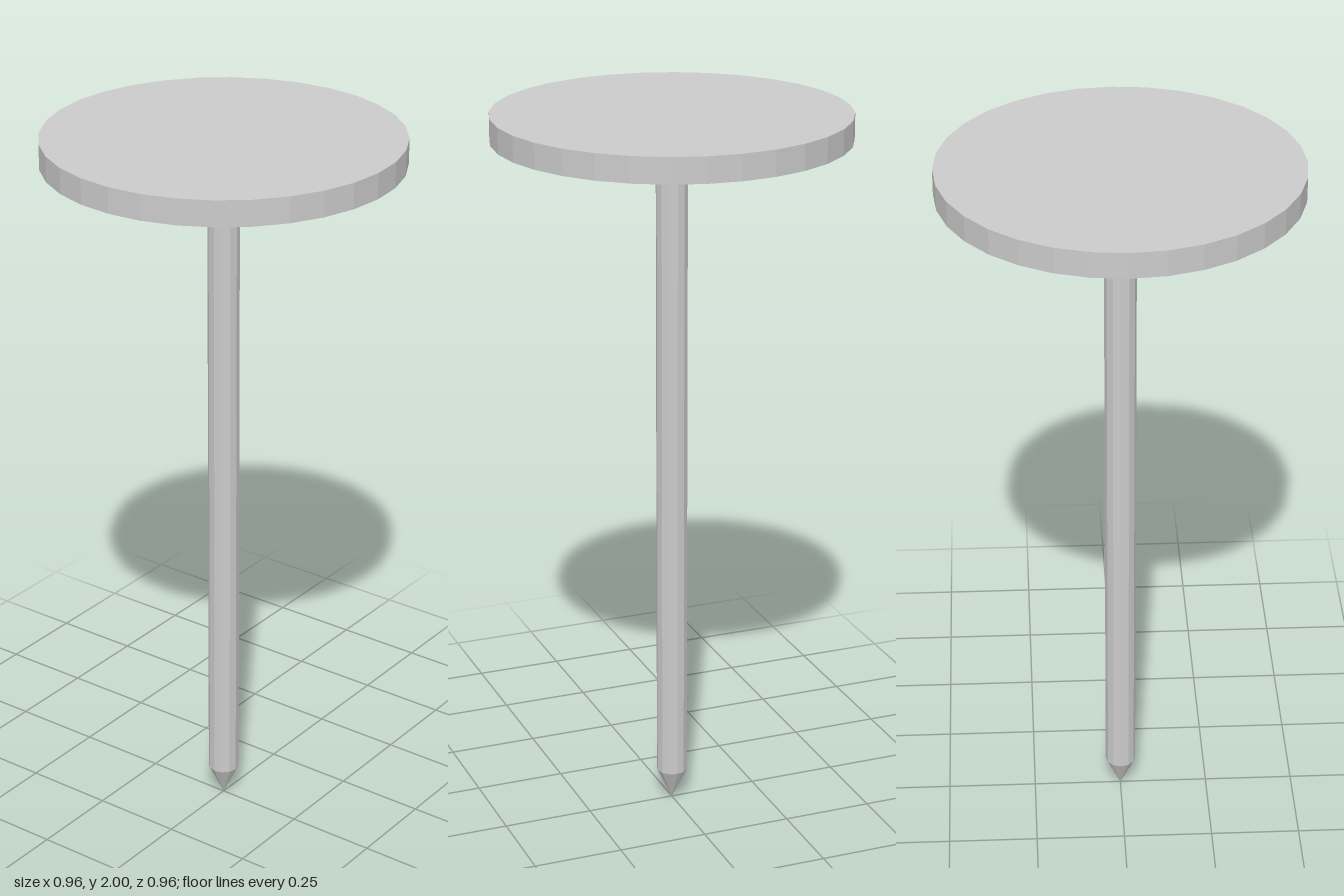
import * as THREE from 'three';

const material = new THREE.MeshStandardMaterial({ color: 0xcccccc, flatShading: true });

// Upright round part between two heights
function roundPart(name, rTop, rBottom, y0, y1, sides, open = false) {
  const geometry = new THREE.CylinderGeometry(rTop, rBottom, y1 - y0, sides, 1, open);
  geometry.translate(0, (y0 + y1) / 2, 0);
  const mesh = new THREE.Mesh(geometry, material);
  mesh.name = name;
  return mesh;
}

export function createModel() {
  const group = new THREE.Group();
  group.name = 'nail';

  const shaftRadius = 0.043;
  const shaftSides = 12;
  const tipTop = 0.09;
  const headBottom = 1.93;

  // Wide flat head
  group.add(roundPart('head', 0.48, 0.48, headBottom, 2, 32));
  // Slim shank, hidden ends left open
  group.add(roundPart('shank', shaftRadius, shaftRadius, tipTop, headBottom, shaftSides, true));
  // Sharp point
  group.add(roundPart('point', shaftRadius, 0, 0, tipTop, shaftSides, true));

  return group;
}
